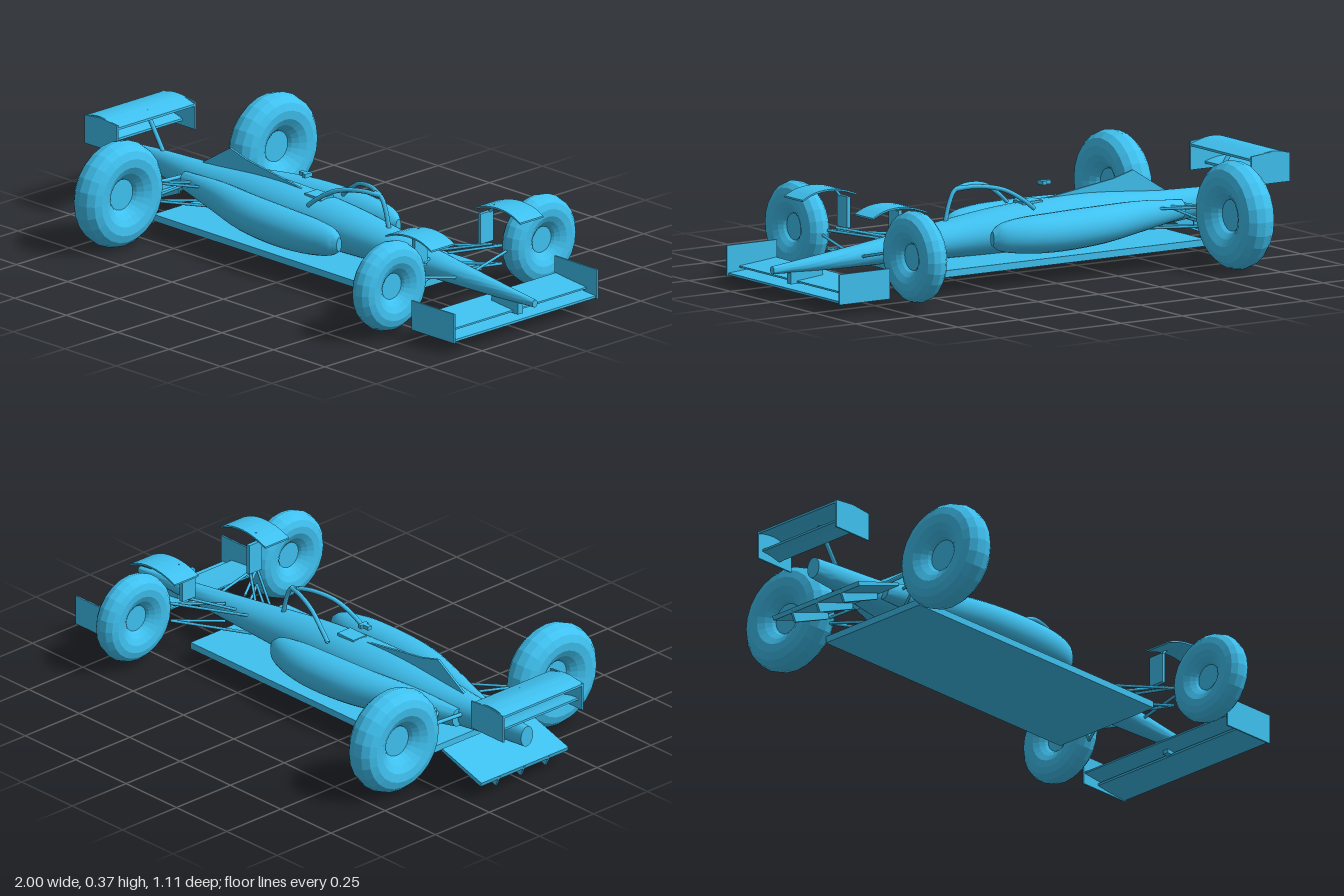
import * as THREE from 'three';
import { toCreasedNormals } from 'three/addons/utils/BufferGeometryUtils.js';

export function createModel() {
  const car = new THREE.Group();
  car.name = 'openWheelRaceCar';
  const paint = new THREE.MeshStandardMaterial({ color: 0x3fc1f0, side: THREE.DoubleSide });
  const facet = paint.clone();
  facet.flatShading = true;
  const V = (x, y, z) => new THREE.Vector3(x, y, z);

  const add = (name, geo, mat = paint) => {
    const m = new THREE.Mesh(geo, mat);
    m.name = name;
    car.add(m);
    return m;
  };
  const box = (name, x0, x1, y0, y1, z0, z1) =>
    add(name, new THREE.BoxGeometry(x1 - x0, y1 - y0, Math.abs(z1 - z0))
      .translate((x0 + x1) / 2, (y0 + y1) / 2, (z0 + z1) / 2));
  // Side profile in x/y, extruded across from z0 to z1
  const slab = (name, pts, z0, z1) => {
    const shape = new THREE.Shape(pts.map(p => new THREE.Vector2(p[0], p[1])));
    const geo = new THREE.ExtrudeGeometry(shape, { depth: Math.abs(z1 - z0), bevelEnabled: false });
    return add(name, geo.translate(0, 0, Math.min(z0, z1)));
  };
  // Curved sheet: a line of points thickened downwards
  const sheet = (name, pts, t, z0, z1) => {
    const top = new THREE.SplineCurve(pts.map(p => new THREE.Vector2(p[0], p[1]))).getPoints(10).map(p => [p.x, p.y]);
    const under = top.map(p => [p[0], p[1] - t]).reverse();
    return slab(name, [...top, ...under], z0, z1);
  };
  const rod = (name, a, b, r = 0.005) => {
    const d = b.clone().sub(a);
    const m = add(name, new THREE.CylinderGeometry(r, r, d.length(), 8));
    m.position.copy(a).addScaledVector(d, 0.5);
    m.quaternion.setFromUnitVectors(V(0, 1, 0), d.normalize());
  };
  // Elliptical sections [x, bottom, top, z centre, half width], smoothed along x
  const loft = (name, sections, n = 28, steps = 36) => {
    const at = k => new THREE.CatmullRomCurve3(sections.map(k), false, 'centripetal');
    const low = at(s => V(s[0], s[1], s[3] - s[4])), high = at(s => V(s[0], s[2], s[3] + s[4]));
    const pos = [], idx = [], ring = n;
    for (let i = 0; i <= steps; i++) {
      const u = i / steps, a = low.getPoint(u), b = high.getPoint(u);
      for (let j = 0; j < n; j++) {
        const t = j / n * Math.PI * 2;
        pos.push((a.x + b.x) / 2, (a.y + b.y) / 2 + (b.y - a.y) / 2 * Math.cos(t),
          (a.z + b.z) / 2 + (b.z - a.z) / 2 * Math.sin(t));
      }
    }
    for (let i = 0; i < steps; i++) for (let j = 0; j < n; j++) {
      const a = i * ring + j, b = i * ring + (j + 1) % n;
      idx.push(a, b, a + ring, b, b + ring, a + ring);
    }
    const end = steps * ring;
    for (let j = 1; j < n - 1; j++) idx.push(0, j + 1, j, end, end + j, end + j + 1);
    const geo = new THREE.BufferGeometry();
    geo.setAttribute('position', new THREE.Float32BufferAttribute(pos, 3));
    geo.setIndex(idx);
    return add(name, toCreasedNormals(geo, 0.7));
  };

  // Central body from tail to nose
  loft('body', [
    [-0.92, 0.14, 0.215, 0, 0.028], [-0.8, 0.13, 0.222, 0, 0.038], [-0.6, 0.11, 0.228, 0, 0.065],
    [-0.3, 0.085, 0.25, 0, 0.1], [-0.1, 0.08, 0.248, 0, 0.103], [0.1, 0.08, 0.236, 0, 0.093],
    [0.3, 0.085, 0.212, 0, 0.075], [0.5, 0.09, 0.185, 0, 0.057], [0.75, 0.093, 0.155, 0, 0.034],
    [1, 0.1, 0.127, 0, 0.012]]);
  slab('engineCoverFin', [[-0.66, 0.2], [-0.6, 0.235], [-0.48, 0.31], [-0.4, 0.288], [-0.1, 0.245], [-0.1, 0.2]], -0.004, 0.004);
  box('headrest', -0.09, -0.01, 0.2, 0.25, -0.03, 0.03);
  box('cameraPod', -0.14, -0.1, 0.297, 0.311, -0.008, 0.008);
  box('cameraBar', -0.115, -0.1, 0.297, 0.311, -0.017, 0.017);
  box('floor', -0.63, 0.515, 0.064, 0.088, -0.22, 0.22);

  // Cockpit hoop: two side arms meeting at a front pillar
  for (const s of [-1, 1]) {
    const arm = new THREE.CatmullRomCurve3([V(-0.02, 0.235, s * 0.083), V(0.02, 0.268, s * 0.075),
      V(0.09, 0.308, s * 0.055), V(0.18, 0.323, s * 0.026), V(0.25, 0.316, 0)]);
    add('hoopArm', new THREE.TubeGeometry(arm, 24, 0.008, 8));
  }
  const pillar = new THREE.CatmullRomCurve3([V(0.22, 0.321, 0), V(0.252, 0.312, 0), V(0.272, 0.275, 0), V(0.292, 0.2, 0)]);
  add('hoopPillar', new THREE.TubeGeometry(pillar, 16, 0.008, 8));

  // Wheels, with the axle along x
  const wheel = (name, x, y, z, R, w) => {
    const half = [[0, 0.25], [0.29, 0.25], [0.33, 0.45], [0.43, 0.72], [0.56, 0.95], [0.72, 1], [0.86, 0.85], [0.96, 0.5]];
    const pts = [...half.map(p => [p[0], -p[1]]), [1, 0], ...half.slice().reverse()]
      .map(p => new THREE.Vector2(p[0] * R, p[1] * w));
    const geo = new THREE.LatheGeometry(pts, 24).rotateZ(-Math.PI / 2);
    add(name, geo, facet).position.set(x, y, z);
  };

  for (const s of [-1, 1]) {
    wheel('rearWheel', -0.65, 0.191, s * 0.366, 0.187, 0.06);
    wheel('frontWheel', 0.655, 0.178, s * 0.354, 0.158, 0.046);

    loft('sidePod', [
      [-0.64, 0.135, 0.2, s * 0.06, 0.025], [-0.45, 0.115, 0.22, s * 0.095, 0.05],
      [-0.25, 0.098, 0.228, s * 0.135, 0.07], [-0.05, 0.092, 0.227, s * 0.148, 0.072],
      [0.08, 0.1, 0.222, s * 0.146, 0.06], [0.16, 0.115, 0.208, s * 0.142, 0.036],
      [0.192, 0.135, 0.185, s * 0.14, 0.012]], 24, 28);

    // Front wheel fender and its upright board
    sheet('wheelFender', [[0.545, 0.31], [0.6, 0.328], [0.66, 0.335], [0.72, 0.328], [0.768, 0.308]], 0.006, s * 0.155, s * 0.265);
    box('fenderBoard', 0.593, 0.607, 0.2, 0.308, s * 0.125, s * 0.185);
    rod('fenderStay', V(0.6, 0.3, s * 0.17), V(0.62, 0.33, s * 0.18));

    // Suspension arms
    for (const y of [0.12, 0.185]) {
      for (const x of [0.4, 0.53]) rod('frontArm', V(x, y - 0.015, s * 0.045), V(0.635, y, s * 0.2));
      for (const x of [-0.42, -0.54]) rod('rearArm', V(x, y, s * 0.05), V(-0.645, y + 0.01, s * 0.21));
    }
    rod('frontPushRod', V(0.47, 0.165, s * 0.04), V(0.63, 0.2, s * 0.16));
    rod('rearPushRod', V(-0.55, 0.2, s * 0.05), V(-0.65, 0.14, s * 0.2));
    rod('frontAxle', V(0.655, 0.13, s * 0.03), V(0.655, 0.175, s * 0.22));
    rod('rearAxle', V(-0.65, 0.18, s * 0.03), V(-0.65, 0.19, s * 0.22), 0.007);

    // Wing endplates
    box('frontEndplate', 0.75, 0.957, 0.04, 0.145, s * 0.335, s * 0.341);
    slab('rearEndplate', [[-1, 0.245], [-0.84, 0.245], [-0.84, 0.345], [-0.92, 0.353], [-1, 0.345]], s * 0.18, s * 0.186);
  }

  // Front wing
  sheet('frontWingMain', [[0.82, 0.063], [0.88, 0.055], [0.95, 0.05]], 0.008, -0.336, 0.336);
  sheet('frontWingFlap', [[0.755, 0.085], [0.83, 0.077], [0.905, 0.07]], 0.006, -0.336, 0.336);
  box('noseMount', 0.8, 0.93, 0.06, 0.11, -0.012, 0.012);

  // Rear wing
  sheet('rearWingMain', [[-1, 0.343], [-0.96, 0.353], [-0.91, 0.354], [-0.84, 0.336]], 0.008, -0.182, 0.182);
  sheet('rearWingBeam', [[-0.98, 0.284], [-0.94, 0.28], [-0.9, 0.27]], 0.008, -0.182, 0.182);
  rod('rearWingStrut', V(-0.89, 0.345, 0), V(-0.8, 0.205, 0), 0.008);

  // Diffuser and its fins
  slab('diffuser', [[-0.71, 0.115], [-0.715, 0.125], [-0.91, 0.065], [-0.905, 0.05]], -0.202, 0.202);
  for (const z of [-0.115, 0, 0.115])
    slab('diffuserFin', [[-0.73, 0.12], [-0.91, 0.062], [-0.89, 0.02], [-0.73, 0.085]], z - 0.004, z + 0.004);

  // Settle on the ground
  const bounds = new THREE.Box3().setFromObject(car);
  car.position.y = -bounds.min.y;
  return car;
}
